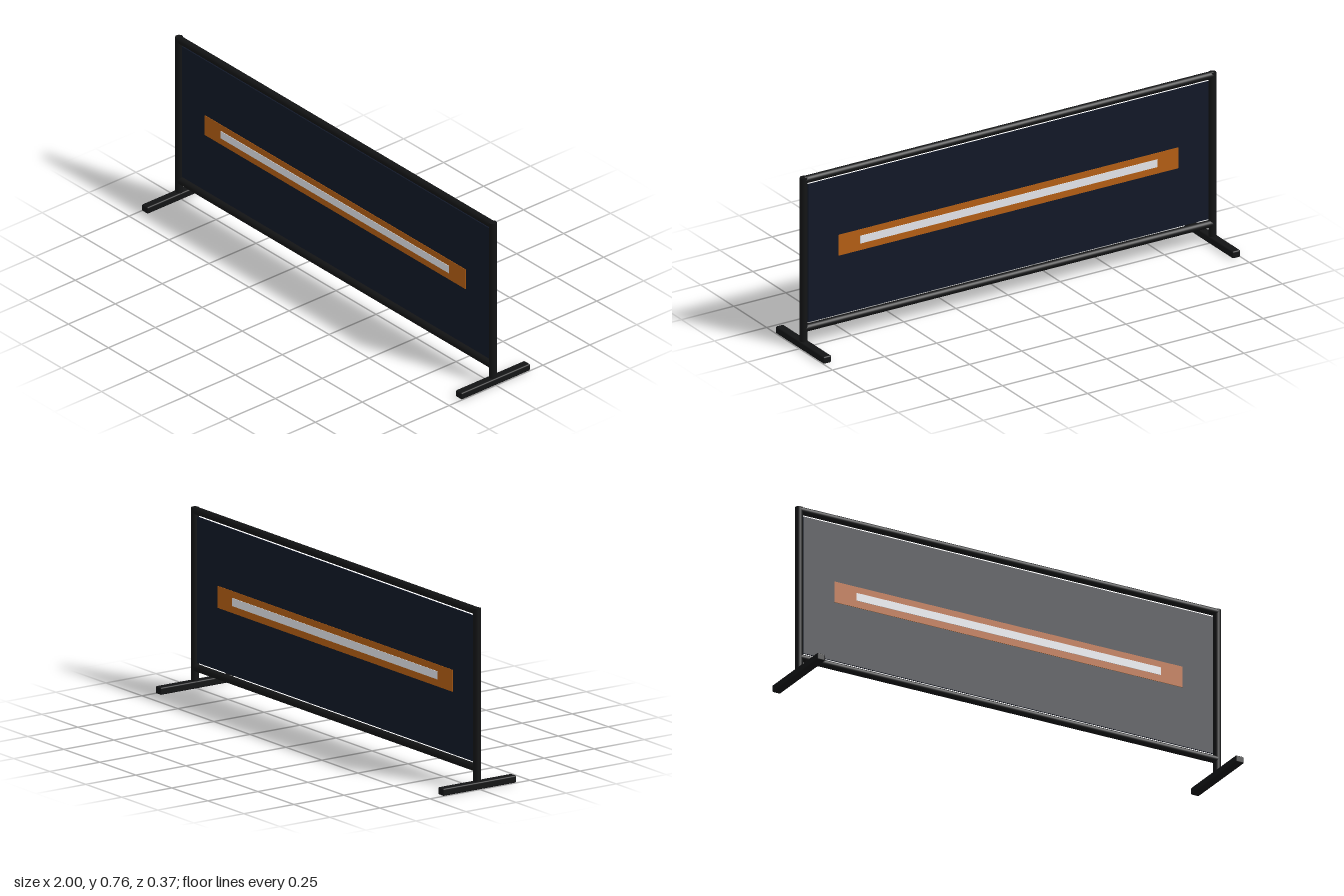
import * as THREE from 'three';
import { RoundedBoxGeometry } from 'three/addons/geometries/RoundedBoxGeometry.js';

export function createModel() {
  const group = new THREE.Group();
  const mat = (color) => new THREE.MeshStandardMaterial({ color });
  const black = mat(0x131415);
  const navy = mat(0x111827);
  const orange = mat(0xb45f14);
  const white = mat(0xe5e7eb);

  function add(name, geometry, material, x, y, z) {
    const mesh = new THREE.Mesh(geometry, material);
    mesh.name = name;
    mesh.position.set(x, y, z);
    group.add(mesh);
    return mesh;
  }

  const r = 0.016; // tube radius of the frame
  const midY = 0.417;

  // Side posts standing on long rounded feet
  for (const [side, s] of [['left', 1], ['right', -1]]) {
    add(side + 'Post', new THREE.CylinderGeometry(r, r, 0.737, 24), black, s * 0.98, 0.3885, 0);
    add(side + 'Foot', new RoundedBoxGeometry(0.038, 0.031, 0.367, 3, 0.006), black, s * 0.981, 0.0155, 0);
  }

  // Horizontal tubes
  for (const [name, y] of [['topRail', 0.745], ['bottomRail', 0.086]]) {
    add(name, new THREE.CylinderGeometry(r, r, 1.96, 24), black, 0, y, 0).rotation.z = Math.PI / 2;
  }

  // Banner panel, with a small gap to the frame all round
  add('panel', new THREE.BoxGeometry(1.92, 0.612, 0.006), navy, 0, midY - 0.002, 0);

  // Band and stripe on both faces
  for (const [side, s] of [['front', 1], ['back', -1]]) {
    add(side + 'Band', new THREE.BoxGeometry(1.63, 0.092, 0.002), orange, 0, midY, s * 0.004);
    add(side + 'Stripe', new THREE.BoxGeometry(1.426, 0.034, 0.002), white, 0, midY + 0.001, s * 0.006);
  }
  return group;
}
